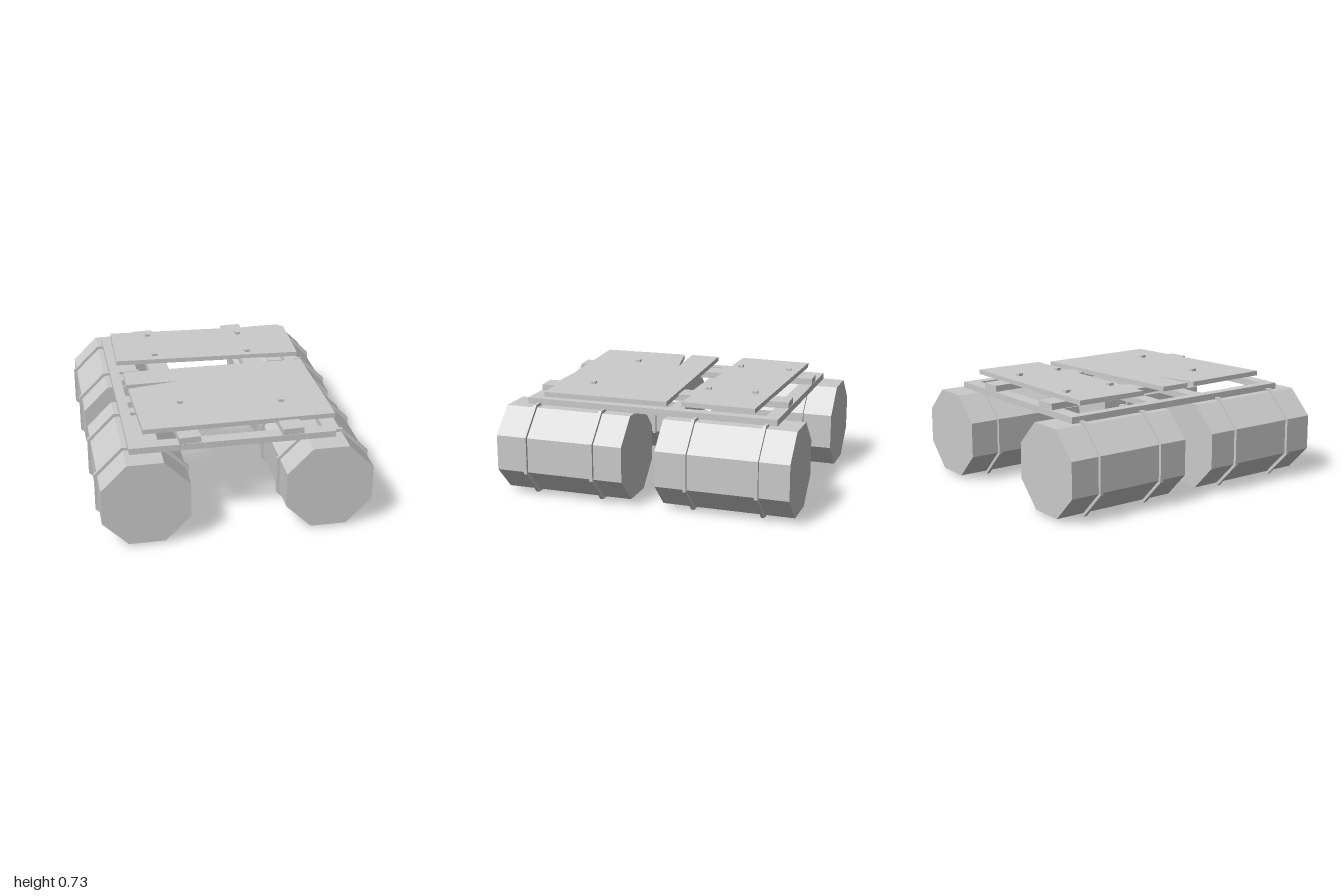
import * as THREE from 'three';

const material = new THREE.MeshStandardMaterial({ color: 0xcccccc, flatShading: true });

function add(parent, name, geometry, x = 0, y = 0, z = 0) {
  const mesh = new THREE.Mesh(geometry, material);
  mesh.name = name;
  mesh.position.set(x, y, z);
  parent.add(mesh);
  return mesh;
}

// Octagonal prism lying along z, with flat sides at top and bottom
function octagon(apothem, length) {
  const r = apothem / Math.cos(Math.PI / 8);
  return new THREE.CylinderGeometry(r, r, length, 8).rotateY(Math.PI / 8).rotateX(Math.PI / 2);
}

// Flat board from an outline of [x, z] points, its top face at y = 0
function board(outline, thickness, holes = []) {
  const toPoints = (list) => list.map(([x, z]) => new THREE.Vector2(x, z));
  const shape = new THREE.Shape(toPoints(outline));
  for (const hole of holes) shape.holes.push(new THREE.Path(toPoints(hole)));
  return new THREE.ExtrudeGeometry(shape, { depth: thickness, bevelEnabled: false }).rotateX(Math.PI / 2);
}

const rect = (x0, x1, z0, z1) => [[x0, z0], [x1, z0], [x1, z1], [x0, z1]];

// Plank sloping gently down toward +x, with square nail heads
function plank(parent, name, outline, topY, slope, nails) {
  const group = new THREE.Group();
  group.name = name;
  group.position.y = topY;
  group.rotation.z = -slope;
  add(group, name + 'Board', board(outline, 0.032));
  for (const [x, z] of nails) {
    add(group, 'nailHead', new THREE.BoxGeometry(0.036, 0.03, 0.036), x, 0.002, z).rotation.y = 0.1;
  }
  parent.add(group);
}

export function createModel() {
  const model = new THREE.Group();
  model.name = 'barrelRaft';

  // Four floating barrels, each with two hoops
  for (const sx of [-1, 1]) {
    for (const sz of [-1, 1]) {
      const barrel = new THREE.Group();
      barrel.name = 'barrel';
      barrel.position.set(sx * 0.595, 0.305, sz * 0.557);
      add(barrel, 'barrelBody', octagon(0.285, 0.886));
      for (const z of [0.32, 0.79]) {
        add(barrel, 'barrelHoop', octagon(0.305, 0.022), 0, 0, sz * (z - 0.557));
      }
      model.add(barrel);
    }
  }

  // Deck frame: outer rails with crossbars between the openings
  add(model, 'deckFrame', board(rect(-0.68, 0.655, -0.857, 0.872), 0.042, [
    rect(-0.615, 0.585, -0.765, -0.212),
    rect(-0.615, 0.585, -0.115, 0.135),
    rect(-0.615, 0.585, 0.23, 0.785),
  ]), 0, 0.638, 0);

  // Two slightly skewed runners carrying the planks
  for (const [x, yaw] of [[-0.333, 0.049], [0.338, 0.045]]) {
    add(model, 'runner', new THREE.BoxGeometry(0.14, 0.042, 1.722), x, 0.659, 0.007).rotation.y = yaw;
  }

  // Crooked deck planks, the front one split at its edge
  plank(model, 'backPlank',
    [[-0.62, -0.755], [0.68, -0.715], [0.668, -0.225], [-0.63, -0.26]],
    0.712, 0.012,
    [[-0.355, -0.675], [0.31, -0.615], [-0.35, -0.325], [0.315, -0.295]]);
  plank(model, 'frontPlank',
    [[-0.605, -0.075], [0.668, -0.12], [0.685, 0.735], [-0.58, 0.785],
      [-0.6, 0.187], [-0.255, 0.115], [-0.605, 0.128]],
    0.707, 0.018,
    [[-0.29, 0.44], [0.375, 0.51]]);

  return model;
}
